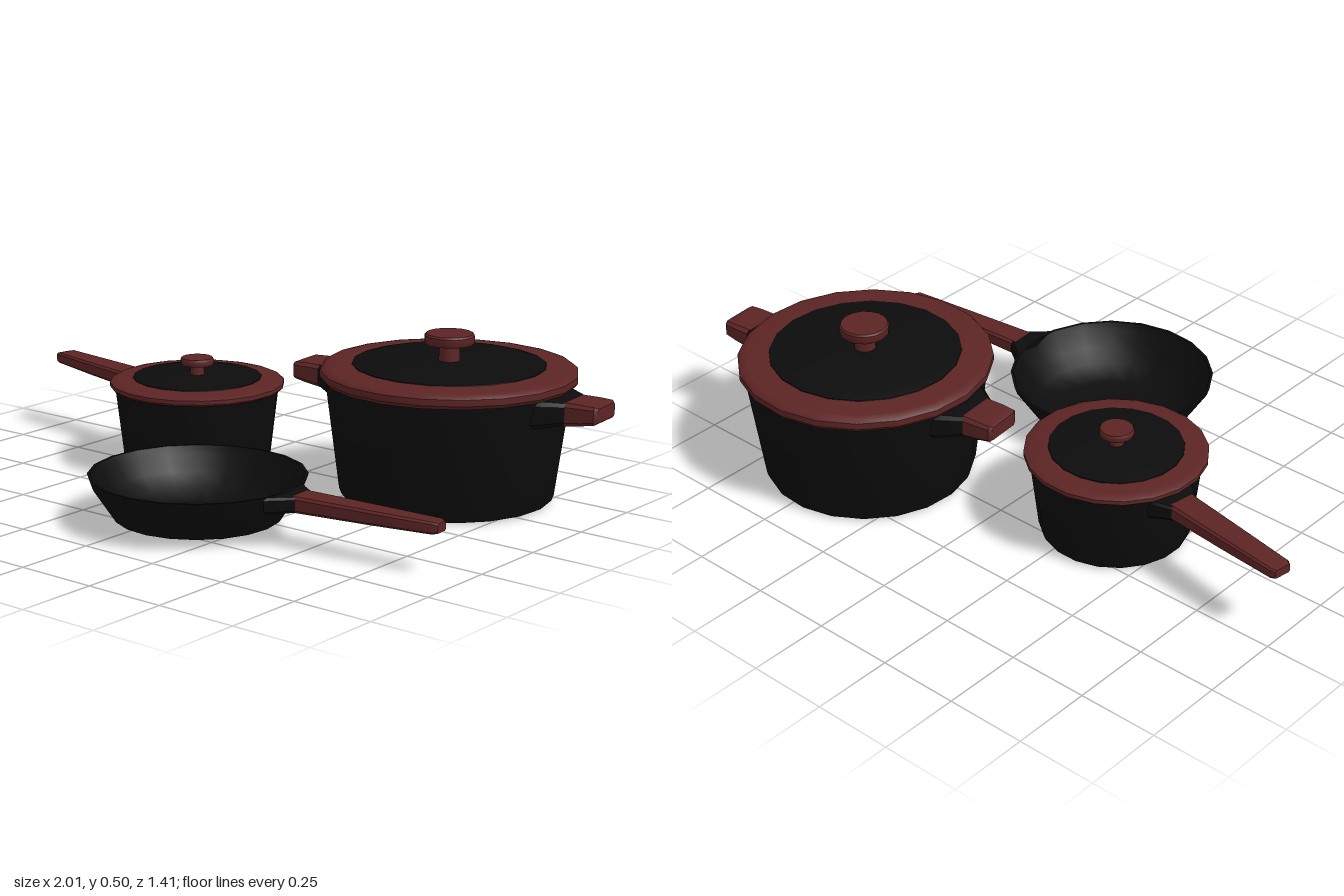
import * as THREE from 'three';
import { toCreasedNormals } from 'three/addons/utils/BufferGeometryUtils.js';

const black = new THREE.MeshStandardMaterial({ color: 0x0c0c0c });
const red = new THREE.MeshStandardMaterial({ color: 0x5c2424 });

function add(parent, name, geometry, material) {
  const mesh = new THREE.Mesh(toCreasedNormals(geometry, 0.6), material);
  mesh.name = name;
  parent.add(mesh);
  return mesh;
}

// Turned part from a list of [radius, height] points
function turned(points, sides = 20) {
  return new THREE.LatheGeometry(points.map(([r, y]) => new THREE.Vector2(r, y)), sides);
}

// Bar along +x lofted through stations [x, halfWidth, bottom, top], with chamfered edges
function bar(stations) {
  const pos = [], index = [], n = 8;
  for (const [x, w, b, t] of stations) {
    const c = (t - b) * 0.16;
    const section = [[-w + c, b], [w - c, b], [w, b + c], [w, t - c],
      [w - c, t], [-w + c, t], [-w, t - c], [-w, b + c]];
    for (const [z, y] of section) pos.push(x, y, z);
  }
  for (let s = 0; s < stations.length - 1; s++) {
    for (let i = 0; i < n; i++) {
      const a = s * n + i, b = s * n + (i + 1) % n;
      index.push(a, a + n, b, b, a + n, b + n);
    }
  }
  const last = (stations.length - 1) * n;
  for (let i = 1; i < n - 1; i++) {
    index.push(0, i, i + 1);
    index.push(last, last + i + 1, last + i);
  }
  const geometry = new THREE.BufferGeometry();
  geometry.setAttribute('position', new THREE.Float32BufferAttribute(pos, 3));
  geometry.setIndex(index);
  // Orient the faces outward
  const p = geometry.attributes.position, v = (i) => new THREE.Vector3().fromBufferAttribute(p, i);
  const mid = new THREE.Vector3();
  for (let i = 0; i < p.count; i++) mid.addScaledVector(v(i), 1 / p.count);
  for (let i = 0; i < index.length; i += 3) {
    const [a, b, c] = [v(index[i]), v(index[i + 1]), v(index[i + 2])];
    const normal = b.clone().sub(a).cross(c.clone().sub(a));
    if (normal.dot(a.add(b).add(c).divideScalar(3).sub(mid)) < 0) {
      [index[i + 1], index[i + 2]] = [index[i + 2], index[i + 1]];
    }
  }
  geometry.setIndex(index);
  return geometry;
}

function vessel(parent, name, x, z, turn) {
  const group = new THREE.Group();
  group.name = name;
  group.position.set(x, 0, z);
  group.rotation.y = turn;
  parent.add(group);
  return group;
}

// Closed pot body, red lid rim, dark lid panel and knob
function pot(group, { base, top, rim, panel, y0, y1, dome, knob, knobY }) {
  add(group, 'body', turned([[0, 0.004], [base - 0.025, 0.004], [base - 0.007, 0.01], [base, 0.028],
    [top, y0 + 0.005], [0, y0 + 0.005]]), black);
  const h = y1 - y0;
  add(group, 'lidRim', turned([[top - 0.03, y0], [rim - 0.008, y0], [rim, y0 + h * 0.25],
    [rim, y0 + h * 0.7], [rim - 0.01, y1 - 0.003], [rim - 0.025, y1], [panel, y1 + 0.004]]), red);
  add(group, 'lidPanel', turned([[panel + 0.004, y1 - 0.005], [panel, y1 + 0.006],
    [panel - 0.03, dome - 0.001], [0, dome]]), black);
  const stem = knob * 0.4, k = knobY - knob * 0.42;
  add(group, 'knob', turned([[stem * 1.1, dome - 0.005], [stem, k], [knob * 0.96, k], [knob, k + 0.005],
    [knob, knobY - 0.006], [knob * 0.94, knobY], [0, knobY]], 16), red);
}

export function createModel() {
  const model = new THREE.Group();
  model.name = 'cookwareSet';

  // Large pot with two ear handles
  const stockPot = vessel(model, 'stockPot', 0.48, -0.32, 0.09);
  pot(stockPot, { base: 0.325, top: 0.37, rim: 0.386, panel: 0.29, y0: 0.362, y1: 0.405,
    dome: 0.42, knob: 0.075, knobY: 0.502 });
  for (const [side, turn] of [['left', 0], ['right', Math.PI]]) {
    const ear = new THREE.Group();
    ear.name = side + 'EarHandle';
    ear.rotation.y = turn;
    stockPot.add(ear);
    add(ear, 'bracket', bar([[0.33, 0.125, 0.28, 0.362], [0.37, 0.105, 0.285, 0.362], [0.425, 0.068, 0.295, 0.358]]), black);
    add(ear, 'grip', bar([[0.415, 0.07, 0.29, 0.36], [0.47, 0.069, 0.298, 0.36],
      [0.512, 0.066, 0.306, 0.358], [0.52, 0.055, 0.312, 0.354]]), red);
  }

  // Small saucepan with one long handle
  const saucePan = vessel(model, 'saucePan', -0.31, -0.085, Math.PI - 0.165);
  pot(saucePan, { base: 0.228, top: 0.256, rim: 0.272, panel: 0.2, y0: 0.26, y1: 0.288,
    dome: 0.3, knob: 0.052, knobY: 0.353 });
  add(saucePan, 'handleBracket', bar([[0.235, 0.085, 0.195, 0.255], [0.255, 0.075, 0.2, 0.255], [0.3, 0.046, 0.204, 0.25]]), black);
  add(saucePan, 'handle', bar([[0.285, 0.048, 0.204, 0.252], [0.5, 0.042, 0.211, 0.252],
    [0.685, 0.036, 0.219, 0.252], [0.7, 0.028, 0.222, 0.249]]), red);

  // Open frying pan with one long handle
  const fryingPan = vessel(model, 'fryingPan', 0.1, 0.385, 0.073);
  add(fryingPan, 'pan', turned([[0, 0.004], [0.16, 0.004], [0.245, 0.03], [0.278, 0.08], [0.312, 0.132],
    [0.32, 0.155], [0.312, 0.155], [0.3, 0.132], [0.268, 0.085], [0.235, 0.045], [0.16, 0.02], [0, 0.018]]), black);
  add(fryingPan, 'handleBracket', bar([[0.302, 0.1, 0.105, 0.154], [0.33, 0.075, 0.106, 0.154], [0.37, 0.044, 0.11, 0.154]]), black);
  add(fryingPan, 'handle', bar([[0.355, 0.045, 0.108, 0.156], [0.6, 0.037, 0.114, 0.156],
    [0.805, 0.029, 0.121, 0.156], [0.82, 0.021, 0.125, 0.152]]), red);

  return model;
}
